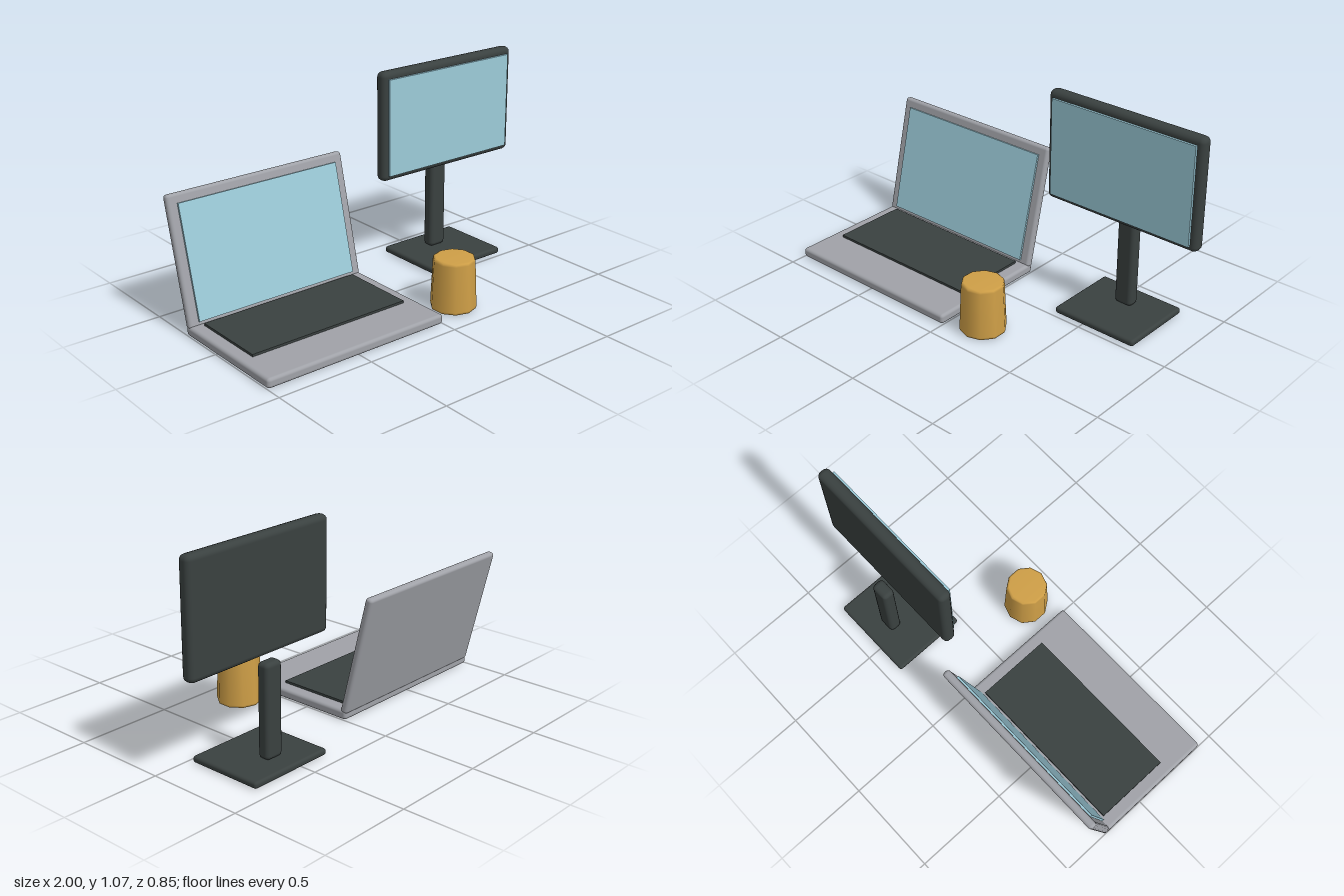
import * as THREE from 'three';
import { RoundedBoxGeometry } from 'three/addons/geometries/RoundedBoxGeometry.js';

const material = (name, color) => Object.assign(new THREE.MeshStandardMaterial({ color }), { name });

export function createModel() {
  const silver = material('silver', 0xa0a2a8);
  const charcoal = material('charcoal', 0x3a4140);
  const glass = material('paleBlueGlass', 0x9ccbd9);
  const ochre = material('ochre', 0xcf9f47);

  const model = new THREE.Group();
  model.name = 'deskSet';

  const group = (name, parent = model) => {
    const g = new THREE.Group();
    g.name = name;
    parent.add(g);
    return g;
  };
  const add = (parent, name, geometry, mat, x, y, z) => {
    const mesh = new THREE.Mesh(geometry, mat);
    mesh.name = name;
    mesh.position.set(x, y, z);
    parent.add(mesh);
    return mesh;
  };
  const rounded = (w, h, d, r) => new RoundedBoxGeometry(w, h, d, 2, r);
  const box = (w, h, d) => new THREE.BoxGeometry(w, h, d);

  // Laptop: base, keyboard slab and a lid leaning back
  const laptop = group('laptop');
  add(laptop, 'laptopBase', rounded(1, 0.05, 0.67, 0.016), silver, -0.5, 0.025, 0.085);
  add(laptop, 'keyboard', box(0.87, 0.014, 0.4), charcoal, -0.5, 0.055, 0.005);
  const lid = group('laptopLid', laptop);
  lid.position.set(-0.5, 0.345, -0.307);
  lid.rotation.x = -0.237;
  add(lid, 'lidShell', rounded(1, 0.64, 0.04, 0.016), silver, 0, 0, 0);
  add(lid, 'laptopScreen', box(0.9, 0.565, 0.01), glass, 0, -0.01, 0.025);

  // Monitor: panel, screen, column and foot
  const monitor = group('monitor');
  add(monitor, 'monitorPanel', rounded(0.865, 0.565, 0.067, 0.027), charcoal, 0.5675, 0.7875, -0.2235);
  add(monitor, 'monitorScreen', box(0.8, 0.5, 0.012), glass, 0.566, 0.785, -0.184);
  add(monitor, 'monitorColumn', rounded(0.1, 0.468, 0.067, 0.022), charcoal, 0.566, 0.266, -0.29);
  add(monitor, 'monitorFoot', rounded(0.465, 0.034, 0.4, 0.014), charcoal, 0.567, 0.017, -0.225);

  // Tapered ten-sided cup with softened rims
  const profile = [
    [0, 0], [0.1, 0], [0.111, 0.004], [0.115, 0.016],
    [0.105, 0.25], [0.102, 0.261], [0.092, 0.266], [0, 0.266],
  ].map(([r, y]) => new THREE.Vector2(r, y));
  add(model, 'cup', new THREE.LatheGeometry(profile, 10), ochre, 0.165, 0, 0.308);

  return model;
}
